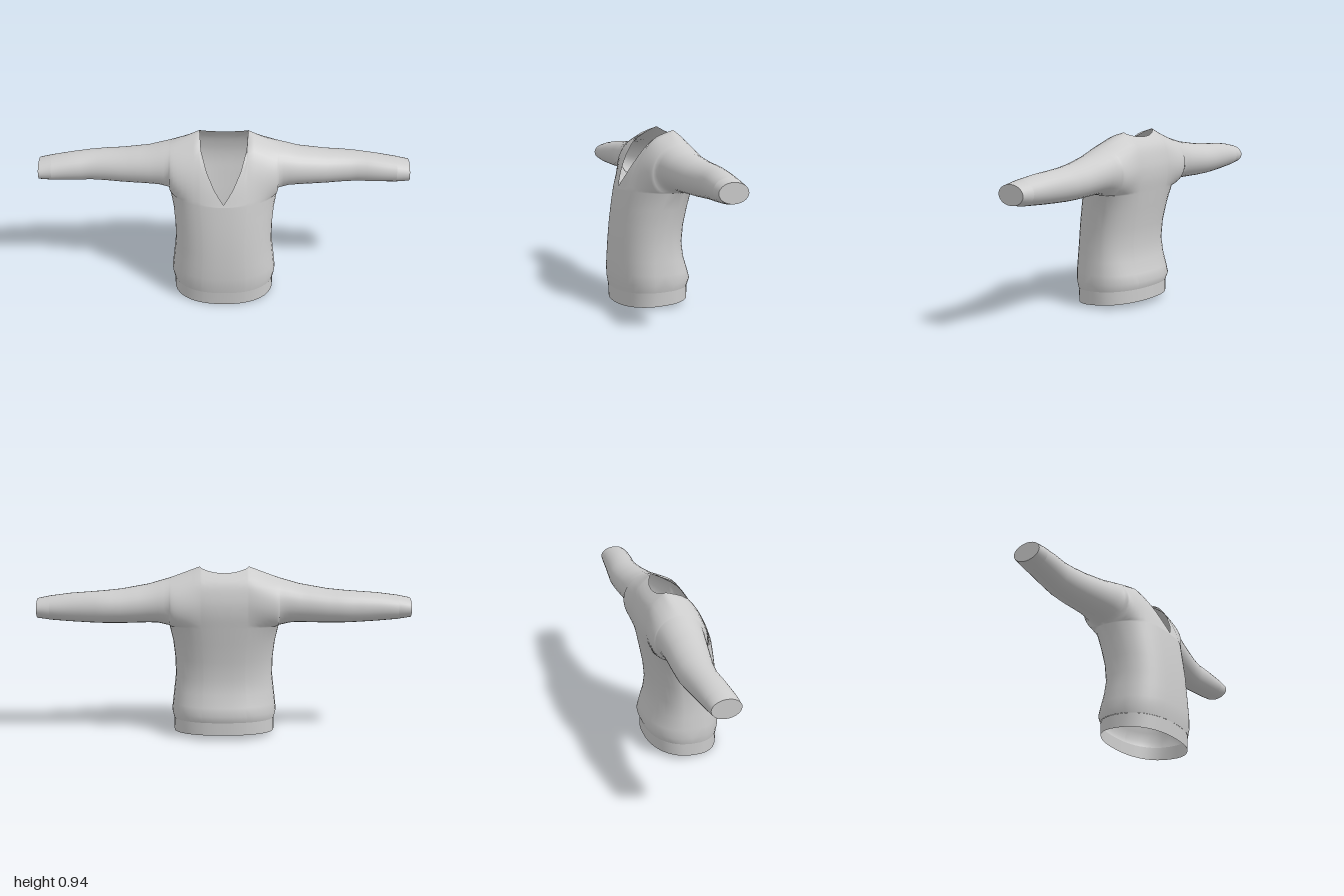
import * as THREE from 'three';
import { mergeVertices, mergeGeometries } from 'three/addons/utils/BufferGeometryUtils.js';

const ARM = 0.295;   // x of the armhole
const NECK = 0.13;   // x where the shoulder meets the neckline
const CUFF = 0.93;   // x where the cuff starts
const ROWS = 14;

// Torso rings: y, half width, front z, back z, side z, tilt of the ring
const TORSO = [
  [0.09, 0.278, 0.206, -0.197, 0, 0.05],
  [0.13, 0.287, 0.213, -0.21, 0, 0.03],
  [0.18, 0.282, 0.216, -0.197, 0, 0.01],
  [0.25, 0.274, 0.213, -0.174, 0, 0],
  [0.33, 0.265, 0.209, -0.163, 0, 0],
  [0.43, 0.267, 0.2, -0.171, -0.01, 0],
  [0.53, 0.277, 0.187, -0.188, -0.04, 0],
  [0.62, ARM, 0.172, -0.203, -0.075, 0],
];
const HEM = [
  [0.015, 0.275, 0.201, -0.195, 0, 0.076],
  [0.09, 0.275, 0.205, -0.196, 0, 0.05],
];
// Sleeve sections: x, top y, bottom y, front z, back z
const SLEEVE = [
  [ARM, 0.875, 0.62, 0.055, -0.205],
  [0.35, 0.86, 0.634, 0.043, -0.2],
  [0.4, 0.845, 0.637, 0.035, -0.197],
  [0.55, 0.82, 0.636, 0.008, -0.2],
  [0.64, 0.812, 0.638, -0.008, -0.2],
  [0.72, 0.806, 0.641, -0.017, -0.19],
  [0.82, 0.797, 0.645, -0.008, -0.177],
  [CUFF, 0.781, 0.652, 0, -0.164],
  [1, 0.766, 0.662, 0, -0.155],
];
const curve = (pts) => new THREE.SplineCurve(pts.map(([y, z]) => new THREE.Vector2(y, z)));
const CHEST = curve([[0.62, 0.165], [0.72, 0.128], [0.82, 0.075], [0.9, 0.005], [0.94, -0.1]]);
const BACK = curve([[0.62, -0.2], [0.7, -0.213], [0.78, -0.21], [0.87, -0.18], [0.94, -0.1]]);
// Neckline: x, share of the chest curve kept, share of the back curve kept
const NECKLINE = [
  [0, 0.05, 0.87], [0.05, 0.225, 0.88], [0.09, 0.43, 0.91], [0.12, 0.69, 0.95], [NECK, 1, 1],
];

// Linear lookup in a table sorted by its first column
function lookup(table, key) {
  let i = 0;
  while (i < table.length - 2 && key > table[i + 1][0]) i++;
  const a = table[i], b = table[i + 1];
  const s = THREE.MathUtils.clamp((key - a[0]) / (b[0] - a[0]), 0, 1);
  return a.map((v, k) => v + (b[k] - v) * s);
}

// Point on a torso ring; u runs -1..1 across the width
function ringPoint([y, w, zf, zb, zc, tilt], u, front) {
  const p = 2.3;
  const bulge = Math.pow(Math.max(0, 1 - Math.pow(Math.abs(u), p)), 1 / p);
  const z = zc + ((front ? zf : zb) - zc) * bulge;
  return [u * w, y - tilt * z, z];
}

// Half of a sleeve section, t from underside to top
function sleevePoint(x, t, front) {
  const [, top, bottom, zf, zb] = lookup(SLEEVE, Math.abs(x));
  const a = (t - 0.5) * Math.PI;
  const half = (zf - zb) / 2 * (front ? 1 : -1);
  return [x, (top + bottom) / 2 + (top - bottom) / 2 * Math.sin(a), (zf + zb) / 2 + half * Math.cos(a)];
}

// Shoulder and chest above the armpits, flowing into the sleeves
function yokePoint(x, t, front) {
  const ax = Math.abs(x);
  if (ax >= ARM) return sleevePoint(x, t, front);
  const keep = ax < NECK ? lookup(NECKLINE, ax)[front ? 1 : 2] : 1;
  const tt = t * keep;
  const s = Math.max(0, (ax - NECK) / (ARM - NECK));
  const c = (front ? CHEST : BACK).getPoint(tt);
  const arm = sleevePoint(ARM, tt, front);
  const z0 = (front ? 0.165 : -0.2) * (1 - s) + sleevePoint(ARM, 0, front)[2] * s;
  const ringZ = ringPoint(TORSO[TORSO.length - 1], x / ARM, front)[2];
  return [x, c.x + (arm[1] - c.x) * s, c.y + (arm[2] - c.y) * s + (ringZ - z0) * (1 - tt) ** 2];
}

// Surface from columns of points (columns to the right, rows upward)
function sheet(cols, flip) {
  const pos = [], tri = (...pts) => (flip ? pts.reverse() : pts).forEach((p) => pos.push(...p));
  for (let i = 0; i < cols.length - 1; i++) {
    for (let j = 0; j < cols[i].length - 1; j++) {
      const a = cols[i][j], b = cols[i + 1][j], c = cols[i + 1][j + 1], d = cols[i][j + 1];
      tri(a, b, c);
      tri(a, c, d);
    }
  }
  const g = new THREE.BufferGeometry();
  g.setAttribute('position', new THREE.Float32BufferAttribute(pos, 3));
  return g;
}

function smooth(sheets) {
  const g = mergeVertices(mergeGeometries(sheets), 1e-4);
  g.computeVertexNormals();
  return g;
}

const steps = Array.from({ length: ROWS + 1 }, (_, j) => j / ROWS);
const mirrored = (list) => [...list.slice(1).map((v) => -v).reverse(), ...list];

export function createModel() {
  const group = new THREE.Group();
  const knit = new THREE.MeshStandardMaterial({ color: 0xcccccc, side: THREE.DoubleSide });
  knit.name = 'grey knit';
  const add = (name, geometry) => {
    const mesh = new THREE.Mesh(geometry, knit);
    mesh.name = name;
    group.add(mesh);
  };

  const bodyX = mirrored([0, 0.025, 0.05, 0.07, 0.09, 0.105, 0.12, NECK, 0.16, 0.19, 0.22, 0.245, 0.265, 0.28, 0.29, ARM]);
  const sleeveX = [ARM, 0.32, 0.35, 0.4, 0.45, 0.5, 0.55, 0.6, 0.64, 0.68, 0.72, 0.77, 0.82, 0.88, CUFF];
  const bothSides = [true, false];
  const rings = (table) => bothSides.map((front) =>
    sheet(bodyX.map((x) => table.map((r) => ringPoint(r, x / ARM, front))), !front));
  const yoke = (xs) => bothSides.map((front) =>
    sheet(xs.map((x) => steps.map((t) => yokePoint(x, t, front))), !front));
  const otherSide = (xs) => xs.map((x) => -x).reverse();

  // Torso, shoulders and sleeves as one continuous knit
  add('bodyAndSleeves', smooth([
    ...rings(TORSO), ...yoke(bodyX), ...yoke(sleeveX), ...yoke(otherSide(sleeveX)),
  ]));

  // Waistband
  add('hemBand', smooth(rings(HEM)));

  // Cuffs and their closed ends
  for (const [side, sign] of [['left', 1], ['right', -1]]) {
    const xs = [CUFF, 0.965, 1];
    add(side + 'Cuff', smooth(yoke(sign > 0 ? xs : otherSide(xs))));
    const end = bothSides.map((front) => steps.map((t) => sleevePoint(sign, t, front)));
    add(side + 'CuffEnd', smooth([sheet(end, sign < 0)]));
  }
  return group;
}
